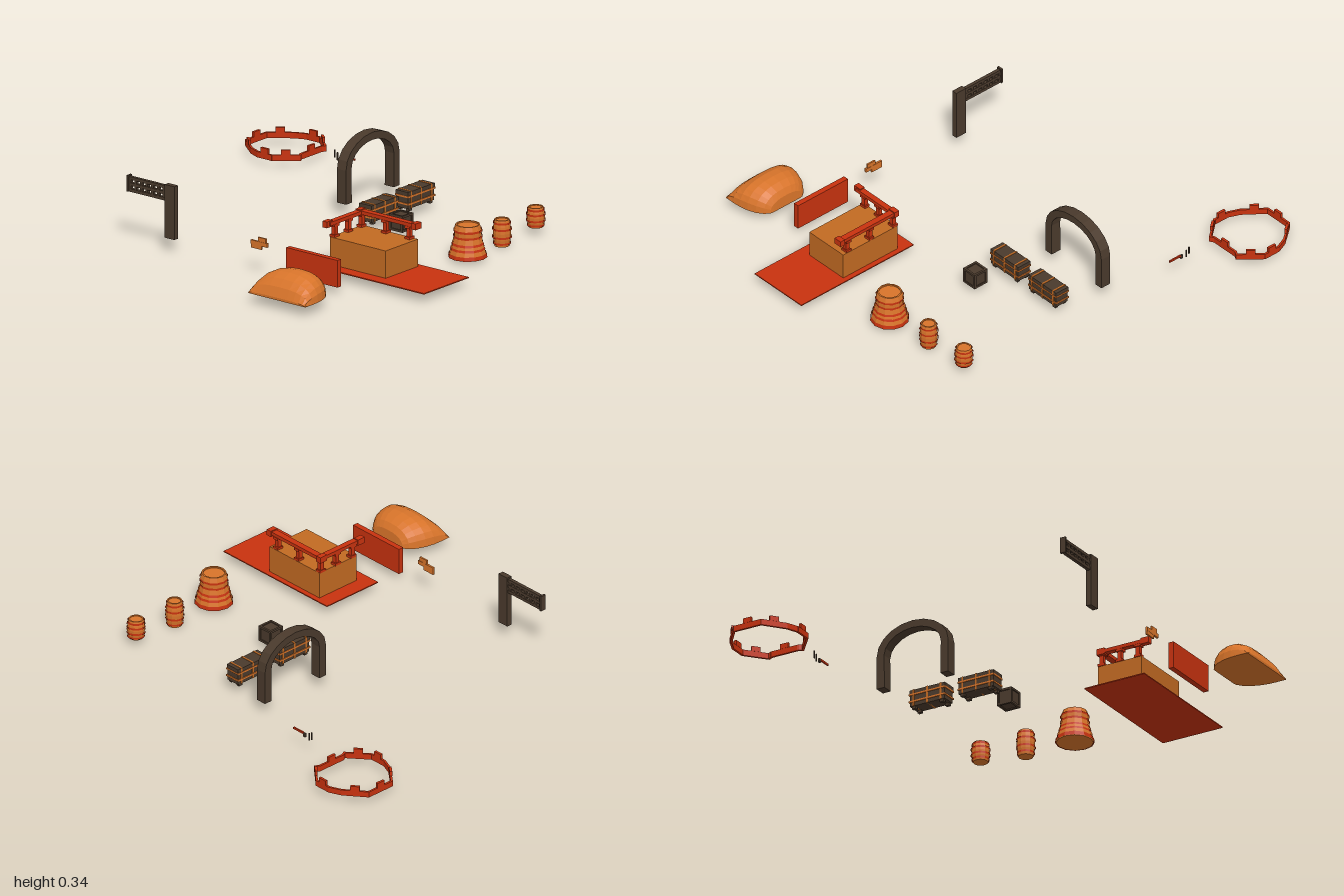
import * as THREE from 'three';

const mat = (color) => new THREE.MeshStandardMaterial({ color, flatShading: true, side: THREE.DoubleSide });
const RED = mat(0xc8320f), ORANGE = mat(0xd8742a), TAN = mat(0xc26a22), DARK = mat(0x4a3a2c);

function add(parent, name, geometry, material, x = 0, y = 0, z = 0) {
  const mesh = new THREE.Mesh(geometry, material);
  mesh.name = name;
  mesh.position.set(x, y, z);
  parent.add(mesh);
  return mesh;
}

// Box given by its limits on each axis
function box(parent, name, material, [x0, x1], [y0, y1], [z0, z1]) {
  return add(parent, name, new THREE.BoxGeometry(x1 - x0, y1 - y0, z1 - z0), material,
    (x0 + x1) / 2, (y0 + y1) / 2, (z0 + z1) / 2);
}

function group(parent, name) {
  const g = new THREE.Group();
  g.name = name;
  parent.add(g);
  return g;
}

// Half dome, wide and thin at its back edge, round at its front
function mound(root) {
  const sections = [[-0.955, 0.165, 0.012], [-0.935, 0.165, 0.055], [-0.905, 0.165, 0.085], [-0.865, 0.163, 0.106],
    [-0.825, 0.155, 0.11], [-0.785, 0.14, 0.103], [-0.755, 0.118, 0.083], [-0.738, 0.095, 0.055], [-0.735, 0.085, 0]];
  const n = 12, pos = [], idx = [];
  const soft = (v) => Math.sign(v) * Math.pow(Math.abs(v), 0.8);
  sections.forEach(([x, w, h], i) => {
    for (let j = 0; j <= n; j++) {
      const a = (j / n) * Math.PI;
      pos.push(x, 0.05 + h * soft(Math.sin(a)), 0.565 + w * soft(Math.cos(a)));
    }
    if (i === 0) return;
    const a = (i - 1) * (n + 1), b = i * (n + 1);
    for (let j = 0; j < n; j++) idx.push(a + j, b + j, a + j + 1, b + j, b + j + 1, a + j + 1);
    idx.push(a, a + n, b, b, a + n, b + n); // underside
  });
  for (let j = 1; j < n; j++) idx.push(0, j, j + 1); // back edge
  const g = new THREE.BufferGeometry();
  g.setAttribute('position', new THREE.Float32BufferAttribute(pos, 3));
  g.setIndex(idx);
  g.computeVertexNormals();
  add(root, 'mound', g, ORANGE);
}

// Post with a perforated side beam
function gantry(root) {
  const g = group(root, 'gantry');
  box(g, 'gantryPost', DARK, [-0.613, -0.587], [0.065, 0.312], [-0.363, -0.307]);
  box(g, 'beamEnd', DARK, [-0.614, -0.586], [0.235, 0.31], [-0.582, -0.572]);
  for (const y of [0.242, 0.27, 0.298])
    box(g, 'beamRail', DARK, [-0.608, -0.592], [y - 0.007, y + 0.007], [-0.575, -0.36]);
  for (let i = 0; i < 7; i++) {
    const z = -0.375 - i * 0.032;
    box(g, 'beamBar', DARK, [-0.607, -0.593], [0.24, 0.3], [z - 0.006, z + 0.006]);
  }
}

// Ground mat, raised block and L-shaped balustrade
function terrace(root) {
  const g = group(root, 'terrace');
  box(g, 'groundMat', RED, [-0.46, -0.15], [0.043, 0.048], [0.335, 1]);
  box(g, 'block', TAN, [-0.4, -0.175], [0.048, 0.175], [0.41, 0.73]);
  box(g, 'backRail', RED, [-0.425, -0.18], [0.235, 0.252], [0.405, 0.433]);
  box(g, 'sideRail', RED, [-0.208, -0.178], [0.235, 0.252], [0.405, 0.74]);
  for (const [x, z] of [[-0.422, 0.419], [-0.193, 0.739], [-0.193, 0.419]])
    box(g, 'railEnd', RED, [x - 0.02, x + 0.02], [0.228, 0.257], [z - 0.018, z + 0.008]);
  for (const [x, z] of [[-0.38, 0.42], [-0.285, 0.42], [-0.193, 0.42], [-0.193, 0.56], [-0.193, 0.695]]) {
    box(g, 'baluster', RED, [x - 0.01, x + 0.01], [0.175, 0.235], [z - 0.01, z + 0.01]);
    for (const y of [0.18, 0.23])
      box(g, 'balusterCap', RED, [x - 0.017, x + 0.017], [y - 0.006, y + 0.006], [z - 0.014, z + 0.014]);
  }
}

// Twelve-sided vessel from a [radius, height] profile with hoops
function vessel(root, name, x, z, profile, hoops) {
  const g = group(root, name);
  g.position.set(x, 0, z);
  const points = profile.map(([r, y]) => new THREE.Vector2(r, y));
  add(g, name + 'Body', new THREE.LatheGeometry(points, 12), ORANGE);
  for (const [r, y, h, r2 = r] of hoops)
    add(g, name + 'Hoop', new THREE.CylinderGeometry(r2, r, h, 12, 1, true), RED, 0, y, 0);
}

function barrel(root, x, z, y0, y1) {
  const h = y1 - y0;
  const at = (r, t) => [r, y0 + t * h];
  vessel(root, 'barrel', x, z,
    [at(0, 0), at(0.034, 0), at(0.039, 0.25), at(0.041, 0.5), at(0.039, 0.75), at(0.034, 1), at(0.028, 1), at(0.028, 0.96), at(0, 0.96)],
    [0.12, 0.35, 0.65, 0.88].map((t) => [t > 0.2 && t < 0.8 ? 0.044 : 0.04, y0 + t * h, 0.009]));
}

// Long chest with dark body, orange bands and feet
function chest(root, x) {
  const g = group(root, 'chest');
  g.position.set(x, 0, 0.135);
  box(g, 'chestBody', DARK, [-0.09, 0.09], [0.048, 0.108], [-0.034, 0.034]);
  box(g, 'chestLid', DARK, [-0.092, 0.092], [0.108, 0.126], [-0.036, 0.036]);
  for (const y of [0.07, 0.104])
    box(g, 'chestBand', ORANGE, [-0.094, 0.094], [y - 0.004, y + 0.004], [-0.038, 0.038]);
  for (const bx of [-0.07, 0, 0.07])
    box(g, 'chestStrap', TAN, [bx - 0.004, bx + 0.004], [0.048, 0.128], [-0.037, 0.037]);
  for (const sx of [-1, 1]) for (const sz of [-1, 1])
    box(g, 'chestFoot', DARK, [sx * 0.072 - 0.01, sx * 0.072 + 0.01], [0.036, 0.05], [sz * 0.024 - 0.008, sz * 0.024 + 0.008]);
}

// Crate with a raised frame on all edges
function crate(root) {
  const g = group(root, 'crate');
  g.position.set(0.222, 0.072, 0.302);
  add(g, 'crateCore', new THREE.BoxGeometry(0.066, 0.066, 0.066), DARK);
  for (const a of [-0.033, 0.033]) for (const b of [-0.033, 0.033]) {
    add(g, 'crateEdge', new THREE.BoxGeometry(0.076, 0.01, 0.01), DARK, 0, a, b);
    add(g, 'crateEdge', new THREE.BoxGeometry(0.01, 0.076, 0.01), DARK, a, 0, b);
    add(g, 'crateEdge', new THREE.BoxGeometry(0.01, 0.01, 0.076), DARK, a, b, 0);
  }
}

function arch(root) {
  const s = new THREE.Shape();
  const n = 10, curve = (rx, ry, t) => [0.465 - rx * Math.cos(t), 0.215 + ry * Math.sin(t)];
  s.moveTo(0.28, 0.058);
  for (let i = 0; i <= n; i++) s.lineTo(...curve(0.185, 0.135, (i / n) * Math.PI));
  s.lineTo(0.65, 0.058);
  s.lineTo(0.61, 0.058);
  for (let i = n; i >= 0; i--) s.lineTo(...curve(0.147, 0.1, (i / n) * Math.PI));
  s.lineTo(0.32, 0.058);
  add(root, 'arch', new THREE.ExtrudeGeometry(s, { depth: 0.052, bevelEnabled: false }), DARK, 0, 0, -0.115);
}

// Thin ring wall with battlements on alternating segments
function ringWall(root) {
  const g = group(root, 'ringWall');
  const half = [[0.07, -0.995], [0.145, -0.9], [0.168, -0.845], [0.168, -0.765], [0.088, -0.67], [0.07, -0.68]];
  const pts = [...half.map(([x, z]) => [0.78 + x, z]), ...half.slice().reverse().map(([x, z]) => [0.78 - x, z])];
  pts.forEach(([x0, z0], i) => {
    const [x1, z1] = pts[(i + 1) % pts.length];
    const len = Math.hypot(x1 - x0, z1 - z0);
    const seg = group(g, 'wallSegment');
    seg.position.set((x0 + x1) / 2, 0, (z0 + z1) / 2);
    seg.rotation.y = -Math.atan2(z1 - z0, x1 - x0);
    add(seg, 'wall', new THREE.BoxGeometry(len + 0.006, 0.027, 0.01), RED, 0, 0.05, 0);
    if (len > 0.07) add(seg, 'battlement', new THREE.BoxGeometry(0.042, 0.024, 0.012), RED, 0, 0.075, 0);
  });
}

export function createModel() {
  const root = new THREE.Group();
  root.name = 'scenerySet';

  mound(root);
  box(root, 'wallPanel', RED, [-0.613, -0.587], [0.037, 0.163], [0.335, 0.63]);

  // Small stepped bracket
  const bracket = group(root, 'bracket');
  box(bracket, 'bracketTop', ORANGE, [-0.604, -0.596], [0.152, 0.174], [0.165, 0.21]);
  box(bracket, 'bracketBody', ORANGE, [-0.605, -0.595], [0.135, 0.154], [0.125, 0.22]);
  box(bracket, 'bracketFoot', ORANGE, [-0.604, -0.596], [0.118, 0.136], [0.125, 0.185]);

  gantry(root);
  terrace(root);

  vessel(root, 'flaredTub', 0.15, 0.745,
    [[0, 0.018], [0.083, 0.018], [0.083, 0.035], [0.07, 0.08], [0.062, 0.115], [0.062, 0.145], [0.055, 0.168], [0.048, 0.168], [0.048, 0.162], [0, 0.162]],
    [[0.088, 0.028, 0.018, 0.085], [0.079, 0.06, 0.01, 0.076], [0.073, 0.082, 0.01, 0.07], [0.066, 0.115, 0.01], [0.065, 0.142, 0.01]]);
  barrel(root, 0.398, 0.735, 0.005, 0.128);
  barrel(root, 0.632, 0.735, 0.035, 0.128);

  crate(root);
  chest(root, 0.268);
  chest(root, 0.52);
  arch(root);
  ringWall(root);

  // Small tool: handle, tip and two loose pegs
  const tool = group(root, 'smallTool');
  box(tool, 'toolShaft', RED, [0.731, 0.738], [0.083, 0.092], [-0.455, -0.39]);
  box(tool, 'toolGrip', DARK, [0.73, 0.739], [0.072, 0.09], [-0.467, -0.455]);
  for (const [z, y] of [[-0.49, 0.065], [-0.506, 0.075]])
    box(tool, 'toolPeg', DARK, [0.732, 0.737], [y, y + 0.036], [z - 0.003, z + 0.003]);

  return root;
}
